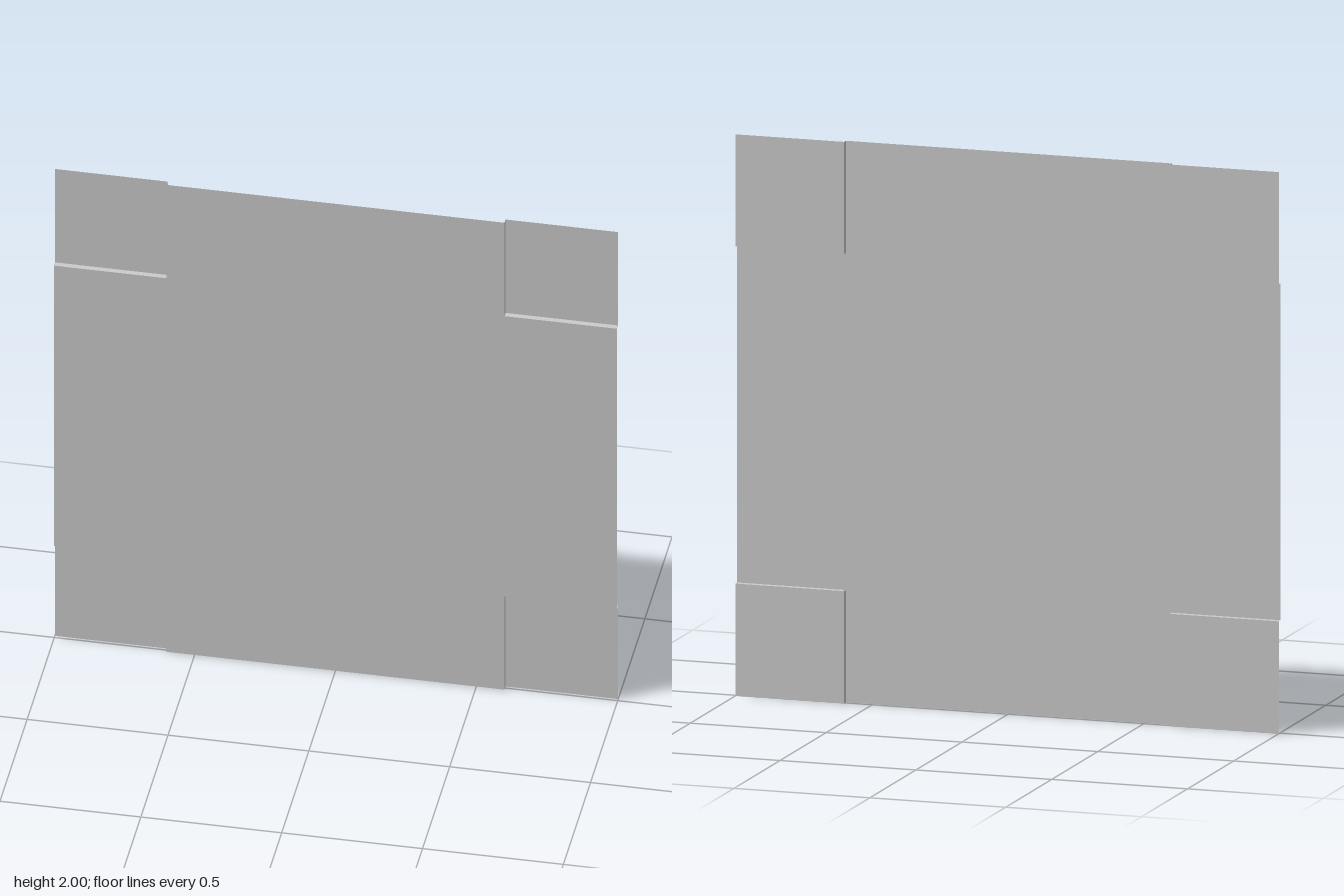
import * as THREE from 'three';

const HALF = 1;      // half the sheet's side
const INNER = 0.6;   // inner edge of each corner recess
const STEP = 0.01;   // half the depth of the step
const SIZE = HALF - INNER;
const MID = (HALF + INNER) / 2;

export function createModel() {
  const model = new THREE.Group();
  model.name = 'steppedSheet';
  const material = new THREE.MeshStandardMaterial({ color: 0xcccccc, side: THREE.DoubleSide });

  const add = (parent, name, geometry, x, y, z) => {
    const mesh = new THREE.Mesh(geometry, material);
    mesh.name = name;
    mesh.position.set(x, y, z);
    parent.add(mesh);
  };

  // Cross-shaped main panel, raised to the front
  const outline = [
    [-INNER, -HALF], [INNER, -HALF], [INNER, -INNER], [HALF, -INNER],
    [HALF, INNER], [INNER, INNER], [INNER, HALF], [-INNER, HALF],
    [-INNER, INNER], [-HALF, INNER], [-HALF, -INNER], [-INNER, -INNER],
  ].map(([x, y]) => new THREE.Vector2(x, y));
  add(model, 'mainPanel', new THREE.ShapeGeometry(new THREE.Shape(outline)), 0, HALF, STEP);

  // Four recessed corners, each joined to the panel by two thin step walls
  const square = new THREE.PlaneGeometry(SIZE, SIZE);
  const sideWall = new THREE.PlaneGeometry(2 * STEP, SIZE).rotateY(Math.PI / 2);
  const levelWall = new THREE.PlaneGeometry(SIZE, 2 * STEP).rotateX(-Math.PI / 2);
  for (const sx of [-1, 1]) {
    for (const sy of [-1, 1]) {
      const corner = new THREE.Group();
      corner.name = (sy > 0 ? 'upper' : 'lower') + (sx > 0 ? 'Left' : 'Right') + 'Corner';
      // Walls face outward from the panel
      const side = sx > 0 ? sideWall : sideWall.clone().rotateY(Math.PI);
      const level = sy > 0 ? levelWall : levelWall.clone().rotateX(Math.PI);
      add(corner, 'cornerPanel', square, sx * MID, HALF + sy * MID, -STEP);
      add(corner, 'sideStep', side, sx * INNER, HALF + sy * MID, 0);
      add(corner, 'levelStep', level, sx * MID, HALF + sy * INNER, 0);
      model.add(corner);
    }
  }
  return model;
}
